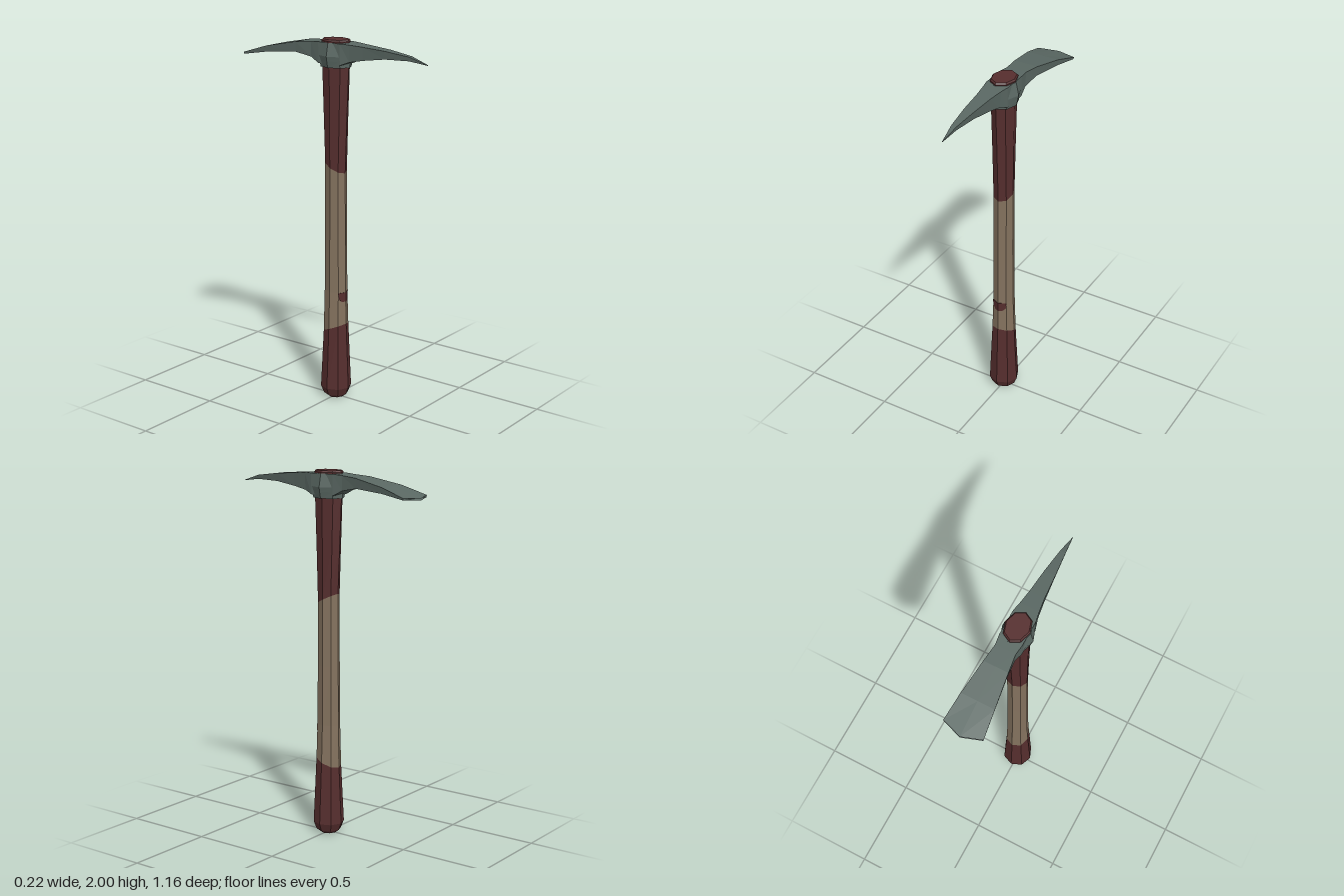
import * as THREE from 'three';

const paint = (name, color) => Object.assign(new THREE.MeshStandardMaterial({ color, flatShading: true }), { name });

// Skin a list of equal-length rings, each counter-clockwise about the loft direction
function loft(rings, capStart = true, capEnd = true) {
  const pos = [];
  const tri = (...pts) => pts.forEach((p) => pos.push(...p));
  const n = rings[0].length;
  for (let r = 0; r < rings.length - 1; r++) {
    const lo = rings[r], hi = rings[r + 1];
    for (let i = 0; i < n; i++) {
      const j = (i + 1) % n;
      tri(lo[i], lo[j], hi[j]);
      tri(lo[i], hi[j], hi[i]);
    }
  }
  const cap = (ring, flip) => {
    const c = [0, 1, 2].map((k) => ring.reduce((s, p) => s + p[k], 0) / n);
    for (let i = 0; i < n; i++) {
      const a = ring[i], b = ring[(i + 1) % n];
      if (flip) tri(c, b, a); else tri(c, a, b);
    }
  };
  if (capStart) cap(rings[0], true);
  if (capEnd) cap(rings[rings.length - 1], false);
  const g = new THREE.BufferGeometry();
  g.setAttribute('position', new THREE.Float32BufferAttribute(pos, 3));
  g.computeVertexNormals();
  return g;
}

// Eight-sided oval ring at height y; tilt raises its front edge
const oval = ([y, rx, rz, tilt = 0]) => Array.from({ length: 8 }, (_, i) => {
  const a = (i * Math.PI) / 4;
  return [rx * Math.sin(a), y + tilt * Math.cos(a), rz * Math.cos(a)];
});

export function createModel() {
  const model = new THREE.Group();
  const red = paint('dark red paint', 0x562e2e);
  const wood = paint('bare wood', 0x85735f);
  const steel = paint('grey steel', 0x5a6863);
  const add = (name, geometry, material) => {
    const mesh = new THREE.Mesh(geometry, material);
    mesh.name = name;
    model.add(mesh);
  };

  // Handle: painted grip, bare middle and painted top share slanted edges
  const lowerEdge = [0.408, 0.066, 0.07, 0.028];
  const upperEdge = [1.315, 0.055, 0.061, -0.03];
  add('grip', loft([
    [0, 0.045, 0.045], [0.018, 0.068, 0.068], [0.06, 0.084, 0.085], lowerEdge,
  ].map(oval), true, false), red);
  add('handleMiddle', loft([
    lowerEdge, [0.62, 0.058, 0.066], [0.95, 0.056, 0.063], upperEdge,
  ].map(oval), false, false), wood);
  add('handleTop', loft([
    upperEdge, [1.6, 0.057, 0.072], [1.86, 0.06, 0.083],
    [1.992, 0.067, 0.085], [2, 0.06, 0.078],
  ].map(oval), false, true), red);

  // Worn paint patch: thin plate folded over the two front facets
  const patchRing = (y, w) => {
    const z = (x) => 0.069 - 0.48 * Math.abs(x);
    return [[0, y, z(0) - 0.006], [w, y, z(w) - 0.006], [w, y, z(w)],
      [0, y, z(0)], [-w, y, z(w)], [-w, y, z(w) - 0.006]];
  };
  // ring order runs clockwise about +y, so reverse it
  const patchRings = [[0.565, 0.022], [0.582, 0.04], [0.617, 0.042]]
    .map(([y, w]) => patchRing(y, w).reverse());
  add('paintPatch', loft(patchRings), red);

  // Collar of the head around the handle
  add('headCollar', loft([
    [1.855, 0.072, 0.09], [1.89, 0.08, 0.092], [1.915, 0.085, 0.095], [1.985, 0.07, 0.088],
  ].map(oval)), steel);

  // Flat blade at the back running through to the pick at the front
  // [z, half width above, half width below, top, bottom, centre offset in z]
  const sections = [
    [-0.545, 0.108, 0.106, 1.893, 1.882, -0.035],
    [-0.4, 0.091, 0.087, 1.938, 1.905, 0],
    [-0.22, 0.067, 0.062, 1.973, 1.918, 0],
    [-0.125, 0.055, 0.052, 1.981, 1.9, 0],
    [-0.07, 0.062, 0.06, 1.985, 1.872, 0],
    [0.07, 0.062, 0.06, 1.985, 1.872, 0],
    [0.12, 0.052, 0.046, 1.983, 1.892, 0],
    [0.2, 0.041, 0.036, 1.978, 1.907, 0],
    [0.33, 0.03, 0.025, 1.968, 1.925, 0],
    [0.47, 0.015, 0.012, 1.95, 1.928, 0],
    [0.577, 0.001, 0.001, 1.917, 1.914, 0],
  ];
  add('pickHead', loft(sections.map(([z, w, wb, top, bottom, dz]) => {
    // the tip of the blade also droops slightly along its centre
    const drop = dz * 0.2;
    return [[0, bottom + drop, z + dz], [wb, bottom, z], [w, top, z],
      [0, top + drop, z + dz], [-w, top, z], [-wb, bottom, z]];
  })), steel);

  return model;
}
